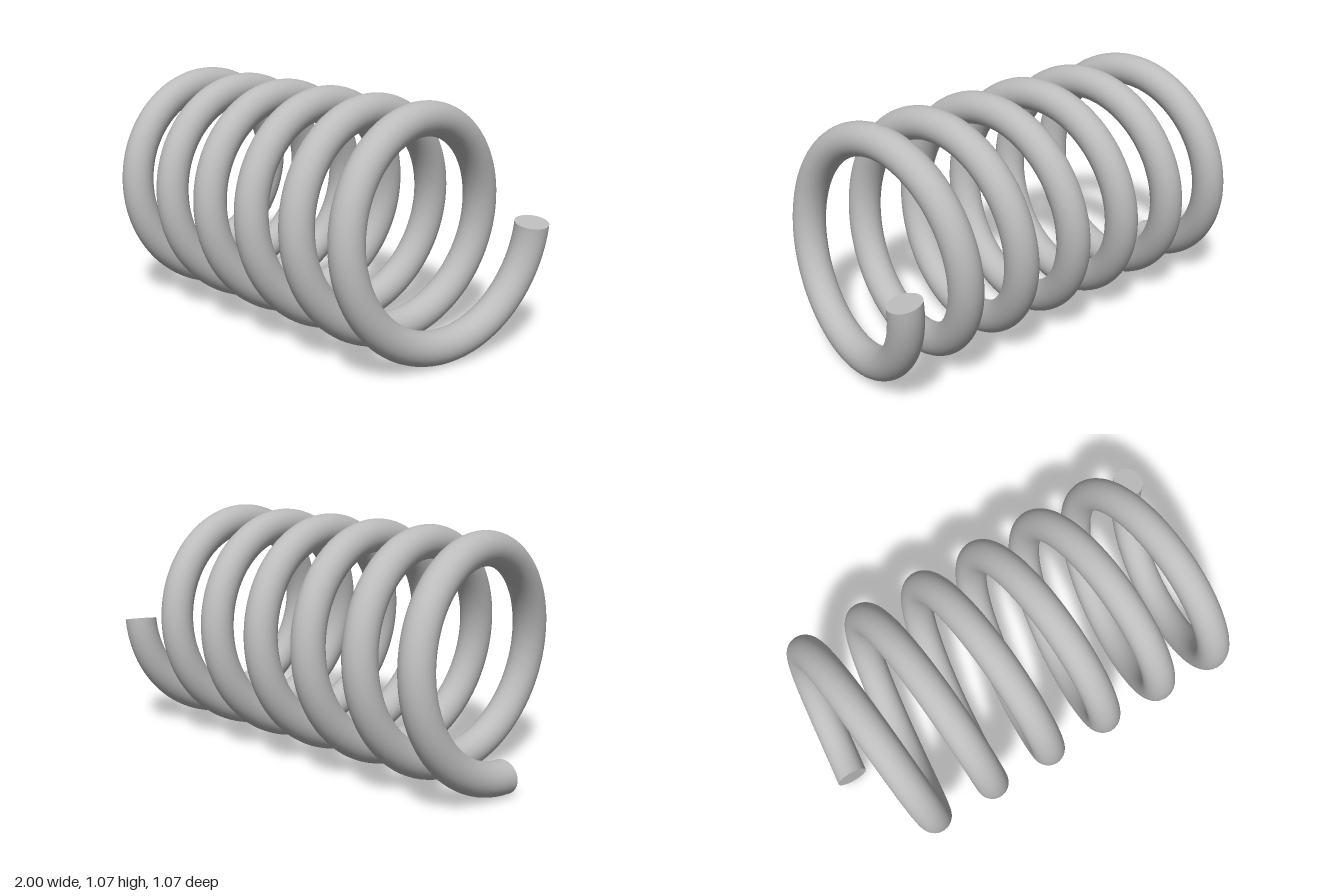
import * as THREE from 'three';

const COIL_RADIUS = 0.464, WIRE_RADIUS = 0.0735, HALF_LENGTH = 0.926, TURNS = 6.25;
const SEGMENTS = 600, SIDES = 32;

// Centre line of the wire: a helix along x, starting at the bottom
class Helix extends THREE.Curve {
  getPoint(t, target = new THREE.Vector3()) {
    const a = t * TURNS * Math.PI * 2;
    return target.set(
      (2 * t - 1) * HALF_LENGTH,
      COIL_RADIUS + WIRE_RADIUS - COIL_RADIUS * Math.cos(a),
      -COIL_RADIUS * Math.sin(a)
    );
  }
}

// Slide one end ring of the wire along its tangent onto a cutting plane,
// and return the flat disc that closes it
function cutEnd(wire, helix, t, planeNormal) {
  const pos = wire.attributes.position;
  const first = t === 0 ? 0 : SEGMENTS * (SIDES + 1);
  const centre = helix.getPoint(t);
  const tangent = helix.getTangent(t);
  const points = [...centre.toArray()], index = [];
  const p = new THREE.Vector3();
  for (let j = 0; j <= SIDES; j++) {
    p.fromBufferAttribute(pos, first + j);
    const slide = -p.clone().sub(centre).dot(planeNormal) / tangent.dot(planeNormal);
    p.addScaledVector(tangent, slide);
    pos.setXYZ(first + j, p.x, p.y, p.z);
    points.push(p.x, p.y, p.z);
    if (j < SIDES) index.push(0, ...(t === 0 ? [j + 1, j + 2] : [j + 2, j + 1]));
  }
  const disc = new THREE.BufferGeometry();
  disc.setAttribute('position', new THREE.Float32BufferAttribute(points, 3));
  disc.setIndex(index);
  disc.computeVertexNormals();
  return disc;
}

export function createModel() {
  const group = new THREE.Group();
  group.name = 'coilSpring';
  const steel = new THREE.MeshStandardMaterial({ color: 0xbcbcbc });
  steel.name = 'steel grey';

  const add = (name, geometry) => {
    const mesh = new THREE.Mesh(geometry, steel);
    mesh.name = name;
    group.add(mesh);
  };

  // Coiled wire with a cut face at each end
  const helix = new Helix();
  helix.arcLengthDivisions = 1200;
  const wire = new THREE.TubeGeometry(helix, SEGMENTS, WIRE_RADIUS, SIDES, false);
  const startDisc = cutEnd(wire, helix, 0, new THREE.Vector3(0, 0, 1));
  const endDisc = cutEnd(wire, helix, 1, new THREE.Vector3(0.168, 1, 0.073).normalize());

  add('coil', wire);
  add('startCap', startDisc);
  add('endCap', endDisc);
  return group;
}
